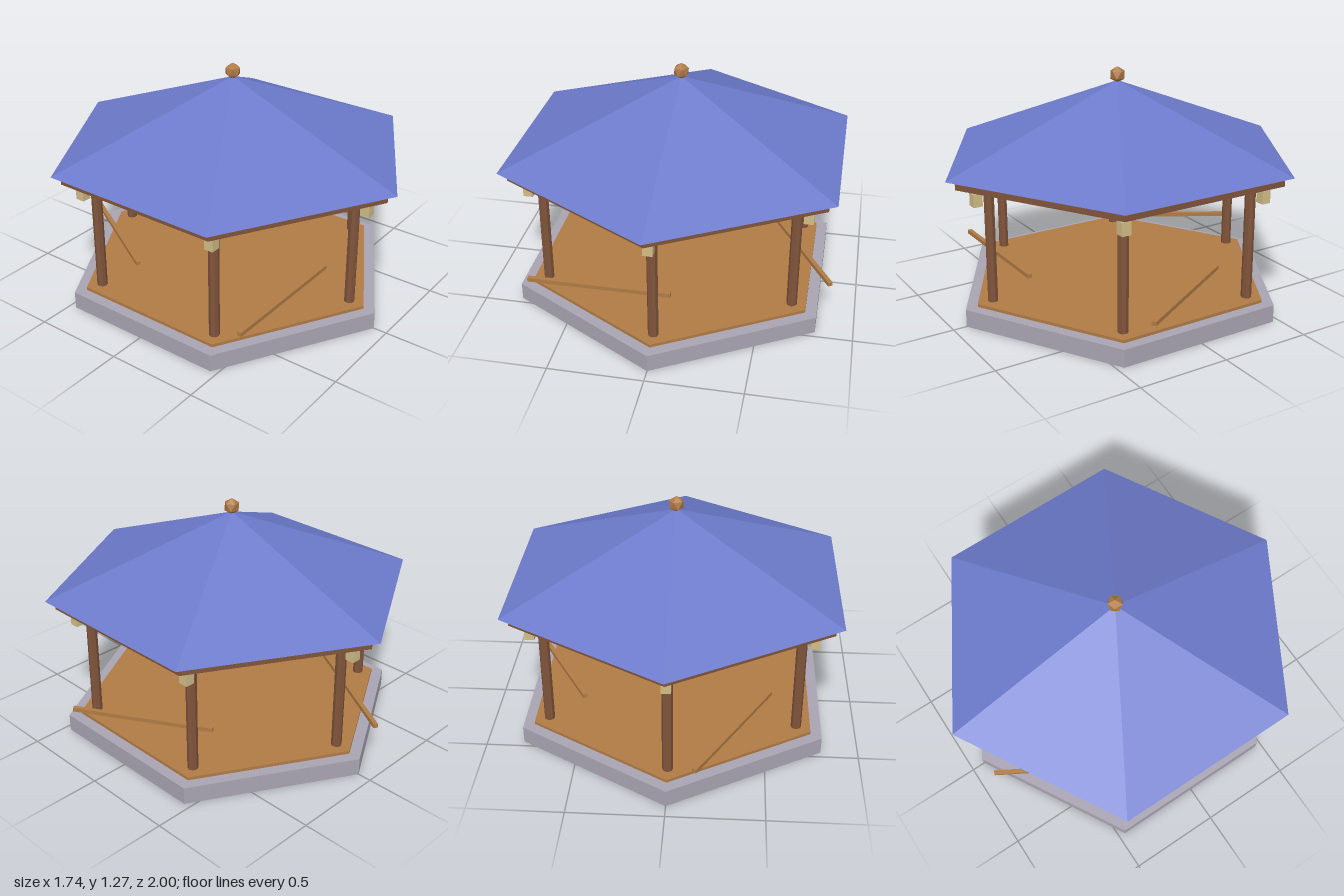
import * as THREE from 'three';

const SIDES = 6;

function material(name, color) {
  const m = new THREE.MeshStandardMaterial({ color });
  m.name = name;
  return m;
}

// Gives every face its own normals for crisp facets
function faceted(geometry) {
  const g = geometry.index ? geometry.toNonIndexed() : geometry;
  g.computeVertexNormals();
  return g;
}

export function createModel() {
  const model = new THREE.Group();
  model.name = 'gazebo';

  const stone = material('stone', 0xa9a4b2);
  const wood = material('warm wood', 0xb07b45);
  const timber = material('dark timber', 0x80543b);
  const tiles = material('blue roof', 0x6c7acb);
  const paper = material('lantern paper', 0xd2bd86);

  function add(name, geometry, mat, x, y, z) {
    const mesh = new THREE.Mesh(geometry, mat);
    mesh.name = name;
    mesh.position.set(x, y, z);
    model.add(mesh);
    return mesh;
  }

  // Hexagonal slab between two heights, corners on the z axis
  function slab(name, radius, bottom, top, mat) {
    const g = faceted(new THREE.CylinderGeometry(radius, radius, top - bottom, SIDES));
    add(name, g, mat, 0, (bottom + top) / 2, 0);
  }

  slab('base', 0.926, 0, 0.095, stone);
  slab('deck', 0.858, 0.095, 0.112, wood);
  slab('roofBeam', 0.95, 0.755, 0.785, timber);

  // Roof, closed underneath
  add('roof', faceted(new THREE.ConeGeometry(1, 0.395, SIDES)), tiles, 0, 1.0025, 0);

  // Finial with one point straight up
  const finial = new THREE.IcosahedronGeometry(0.044, 0);
  finial.rotateX(-Math.atan2(1 + Math.sqrt(5), 2));
  finial.rotateY(Math.PI / 2);
  add('finial', faceted(finial), wood, 0, 1.23, 0);

  // A post and a hanging lantern at each corner
  const post = faceted(new THREE.CylinderGeometry(0.028, 0.028, 0.65, 8));
  const lantern = new THREE.BoxGeometry(0.05, 0.07, 0.05);
  for (let i = 0; i < SIDES; i++) {
    const a = (i * Math.PI) / 3;
    const sx = Math.sin(a), sz = Math.cos(a);
    add('post', post, timber, sx * 0.77, 0.433, sz * 0.77);
    add('lantern', lantern, paper, sx * 0.84, 0.687, sz * 0.84);
  }

  // Loose-set rails on every other side
  const rail = new THREE.BoxGeometry(0.77, 0.022, 0.024);
  for (let i = 0; i < 3; i++) {
    const a = -Math.PI / 6 + (i * 2 * Math.PI) / 3;
    const turn = [0, -Math.PI / 3, Math.PI / 3][i];
    const r = 0.667;
    add('rail', rail, wood, Math.sin(a) * r, 0.224, Math.cos(a) * r).rotation.y = turn;
  }

  return model;
}
